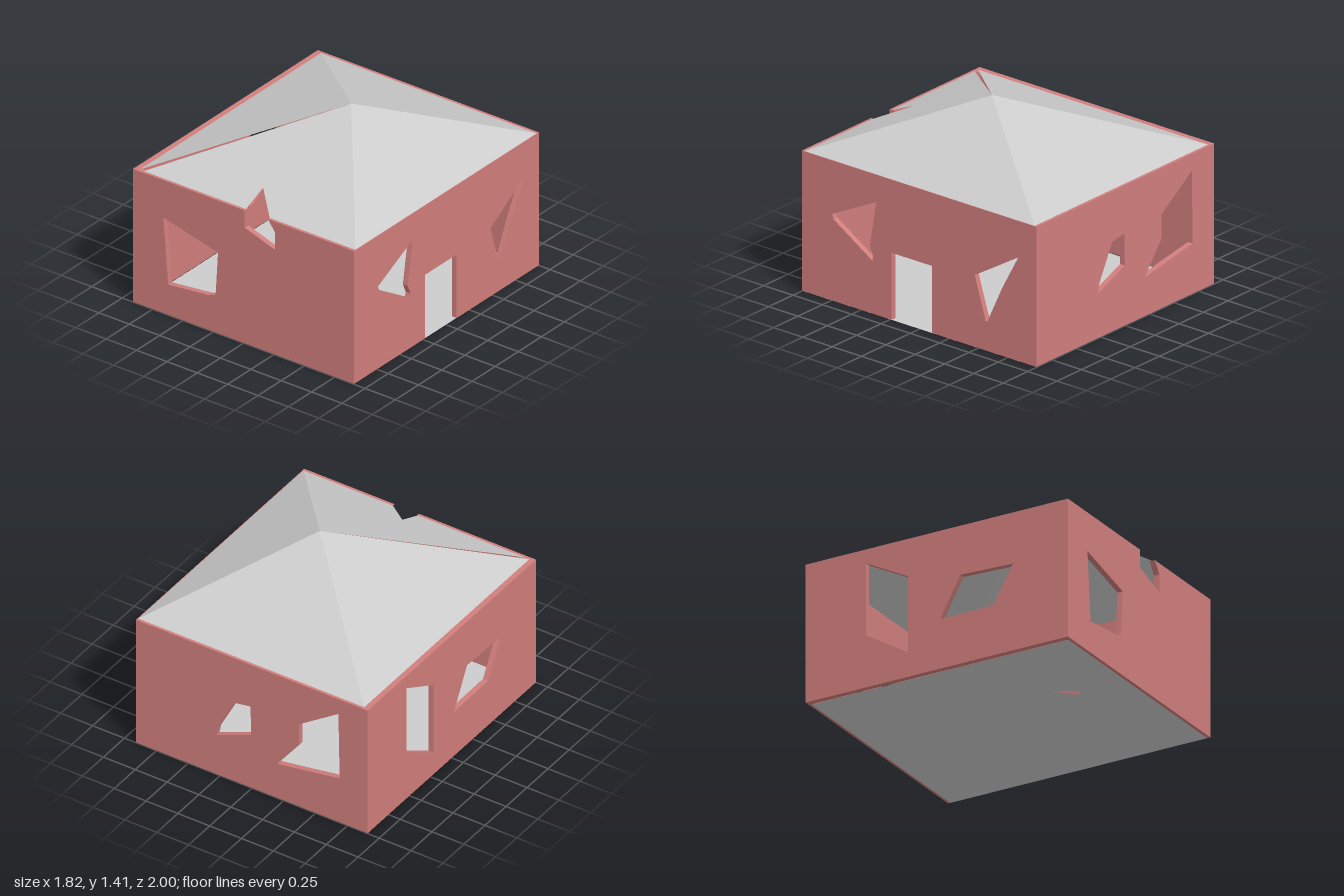
import * as THREE from 'three';

const T = 0.04; // wall thickness
const Y0 = 0.003; // wall foot, just above the floor sheet

const toPoints = (list) => list.map(([a, b]) => new THREE.Vector2(a, b));

// Flat polygon with holes
function polygon(outline, holes = []) {
  const shape = new THREE.Shape(toPoints(outline));
  holes.forEach((h) => shape.holes.push(new THREE.Path(toPoints(h))));
  return shape;
}

export function createModel() {
  const house = new THREE.Group();
  house.name = 'house';
  const red = new THREE.MeshStandardMaterial({ color: 0xd07e7c, flatShading: true });
  const grey = new THREE.MeshStandardMaterial({ color: 0xcccccc, flatShading: true, side: THREE.DoubleSide });

  function add(name, geometry, material) {
    const mesh = new THREE.Mesh(geometry, material);
    mesh.name = name;
    house.add(mesh);
  }

  const wall = (outline, holes) =>
    new THREE.ExtrudeGeometry(polygon(outline, holes), { depth: T, bevelEnabled: false });

  // Front wall: one window, and an opening that breaks through the top edge
  add('frontWall', wall(
    [[-0.91, Y0], [0.91, Y0], [0.91, 1], [0.2, 1], [0.26, 0.92], [0.26, 0.79], [0.01, 0.87], [0.01, 1], [-0.91, 1]],
    [[[-0.66, 0.72], [-0.21, 0.61], [-0.23, 0.285], [-0.28, 0.265], [-0.62, 0.23]]],
  ).translate(0, 0, 1 - T), red);

  // Back wall: a large and a small window
  add('backWall', wall(
    [[-0.91, Y0], [0.91, Y0], [0.91, 1], [-0.91, 1]],
    [
      [[-0.37, 0.67], [-0.68, 0.88], [-0.69, 0.36], [-0.2, 0.28], [-0.37, 0.5]],
      [[0.134, 0.64], [0.01, 0.66], [0.005, 0.43], [0.28, 0.32], [0.265, 0.39]],
    ],
  ).translate(0, 0, -1), red);

  // Side walls, drawn as (z, y)
  const end = 1 - T;
  add('doorWall', wall(
    [[-end, Y0], [-0.11, Y0], [-0.11, 0.48], [0.235, 0.48], [0.235, Y0], [end, Y0], [end, 1], [-end, 1]],
    [
      [[0.365, 0.805], [0.74, 0.62], [0.73, 0.585], [0.4, 0.38], [0.39, 0.41], [0.42, 0.48]],
      [[-0.845, 0.74], [-0.475, 0.515], [-0.485, 0.48], [-0.565, 0.22], [-0.58, 0.21], [-0.71, 0.49]],
    ],
  ).rotateY(-Math.PI / 2).translate(0.91, 0, 0), red);

  add('windowWall', wall(
    [[-end, Y0], [end, Y0], [end, 1], [-end, 1]],
    [
      [[-0.54, 0.9], [-0.22, 0.73], [-0.22, 0.18], [-0.54, 0.38]],
      [[0.025, 0.36], [0.18, 0.645], [0.58, 0.63], [0.43, 0.365]],
    ],
  ).rotateY(-Math.PI / 2).translate(-0.91 + T, 0, 0), red);

  // Sheet drawn as (x, z) and lifted by a height rule
  function sheet(outline, height, holes = []) {
    const flip = (l) => l.map(([x, z]) => [x, -z]);
    const g = new THREE.ShapeGeometry(polygon(flip(outline), holes.map(flip))).rotateX(-Math.PI / 2);
    const p = g.attributes.position;
    for (let i = 0; i < p.count; i++) p.setY(i, height(p.getX(i), p.getZ(i)));
    g.computeVertexNormals();
    return g;
  }

  // Floor with a small hole
  const [x0, x1, z1] = [-0.87, 0.905, 0.98];
  add('floor', sheet(
    [[x0, -z1], [x1, -z1], [x1, z1], [x0, z1]], () => 0,
    [[[-0.1, 0.605], [-0.24, 0.47], [-0.155, 0.636]]],
  ), grey);

  // Hipped roof with an off-centre apex; the front slope is notched and leaves a narrow gap at one ridge
  const apex = [0.14, 0.02];
  const rise = 0.41;
  add('frontRoof', sheet(
    [[-0.835, z1], [0.005, z1], [0.005, 0.795], [0.2, z1], [x1, z1], apex],
    (x, z) => 1 + (rise * (z1 - z)) / (z1 - apex[1])), grey);
  add('backRoof', sheet(
    [[x0, -z1], [x1, -z1], apex],
    (x, z) => 1 + (rise * (z + z1)) / (apex[1] + z1)), grey);
  add('leftRoof', sheet(
    [[x1, z1], [x1, -z1], apex],
    (x) => 1 + (rise * (x1 - x)) / (x1 - apex[0])), grey);
  add('rightRoof', sheet(
    [[x0, z1], [x0, -z1], apex],
    (x) => 1 + (rise * (x - x0)) / (apex[0] - x0)), grey);

  return house;
}
